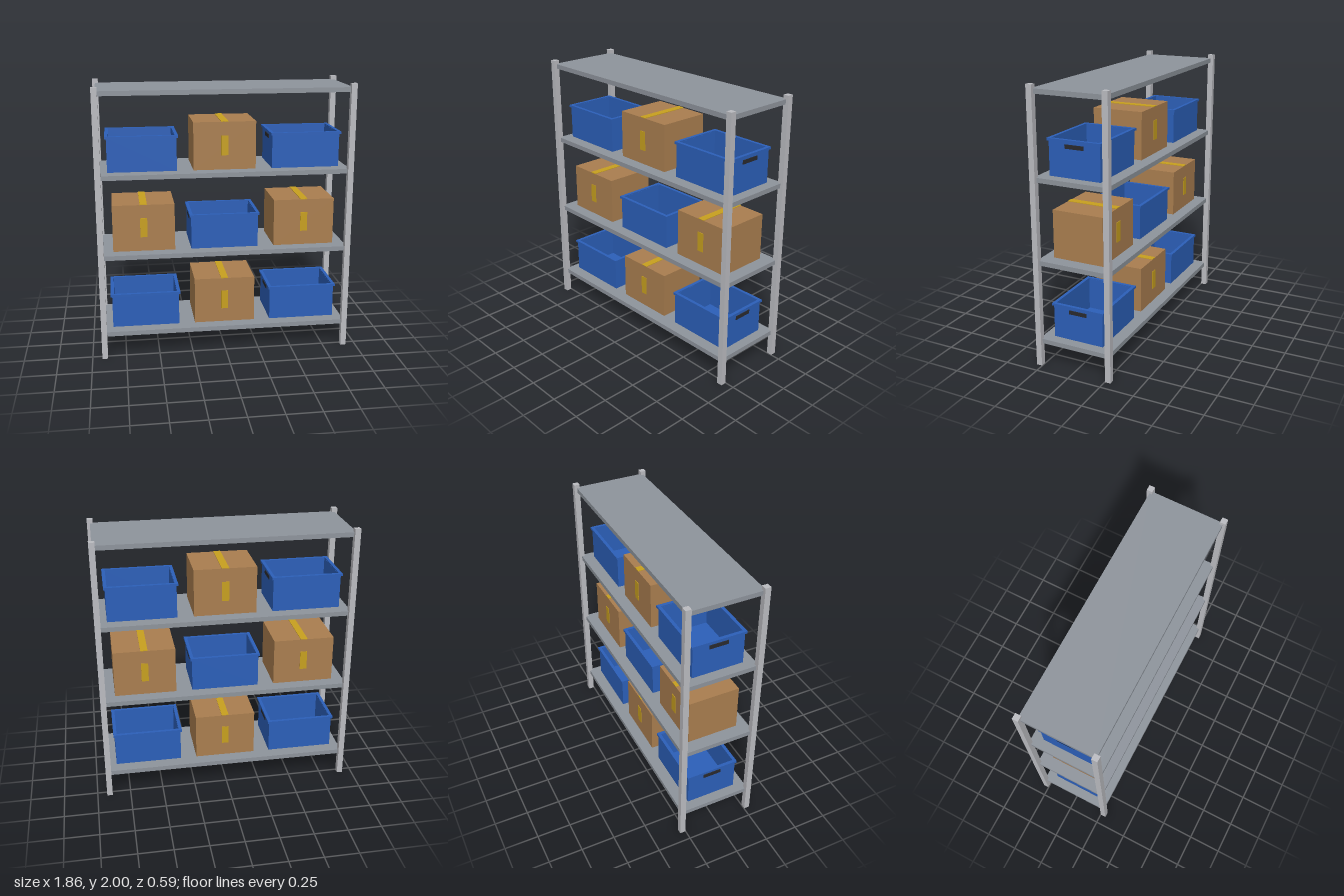
import * as THREE from 'three';

const mat = (name, color) => {
  const m = new THREE.MeshStandardMaterial({ color });
  m.name = name;
  return m;
};

export function createModel() {
  const postMetal = mat('light post metal', 0xbcbdc2);
  const shelfMetal = mat('grey shelf metal', 0x8f959d);
  const binBlue = mat('blue plastic', 0x2c60ba);
  const cardboard = mat('cardboard', 0xab7f50);
  const tapeYellow = mat('yellow tape', 0xc9a11f);
  const handleDark = mat('dark handle', 0x2a2a2e);

  const rack = new THREE.Group();
  rack.name = 'storageRack';

  const add = (parent, name, geometry, material, x = 0, y = 0, z = 0) => {
    const mesh = new THREE.Mesh(geometry, material);
    mesh.name = name;
    mesh.position.set(x, y, z);
    parent.add(mesh);
    return mesh;
  };
  const box = (w, h, d) => new THREE.BoxGeometry(w, h, d);

  // Upright rectangular frame, open in the middle, standing on y = 0
  const frame = (w, d, wall, h) => {
    const rect = (path, a, b) => path.moveTo(-a, -b).lineTo(a, -b).lineTo(a, b).lineTo(-a, b).closePath();
    const shape = rect(new THREE.Shape(), w / 2, d / 2);
    shape.holes.push(rect(new THREE.Path(), w / 2 - wall, d / 2 - wall));
    return new THREE.ExtrudeGeometry(shape, { depth: h, bevelEnabled: false }).rotateX(-Math.PI / 2);
  };

  // Open bin with a lip and a hand grip at each end
  const makeBin = () => {
    const bin = new THREE.Group();
    bin.name = 'bin';
    add(bin, 'binWalls', frame(0.495, 0.38, 0.014, 0.25), binBlue);
    add(bin, 'binFloor', box(0.48, 0.014, 0.366), binBlue, 0, 0.007);
    add(bin, 'binRim', frame(0.517, 0.4, 0.024, 0.017), binBlue, 0, 0.241);
    for (const s of [-1, 1]) {
      add(bin, 'binHandle', box(0.008, 0.028, 0.138), handleDark, s * 0.249, 0.212);
    }
    return bin;
  };

  // Closed carton with tape on the top seam, front and back
  const makeCarton = () => {
    const carton = new THREE.Group();
    carton.name = 'carton';
    add(carton, 'cartonBody', box(0.452, 0.346, 0.38), cardboard, 0, 0.173);
    add(carton, 'topTape', box(0.052, 0.005, 0.38), tapeYellow, 0, 0.3475);
    for (const s of [-1, 1]) {
      add(carton, 'sideTape', box(0.052, 0.143, 0.005), tapeYellow, 0, 0.176, s * 0.1915);
    }
    return carton;
  };

  // Corner posts
  for (const x of [-0.908, 0.908]) {
    for (const z of [-0.273, 0.273]) {
      add(rack, 'post', box(0.042, 2, 0.042), postMetal, x, 1, z);
    }
  }

  // Shelves, with alternating bins and cartons on the lower three
  for (let row = 0; row < 4; row++) {
    const y = 0.185 + row * 0.59;
    add(rack, 'shelf', box(1.816, 0.034, 0.546), shelfMetal, 0, y);
    if (row === 3) continue;
    for (let col = -1; col <= 1; col++) {
      const item = (row + col) % 2 !== 0 ? makeBin() : makeCarton();
      item.position.set(col * 0.593, y + 0.022, 0);
      rack.add(item);
    }
  }

  return rack;
}
